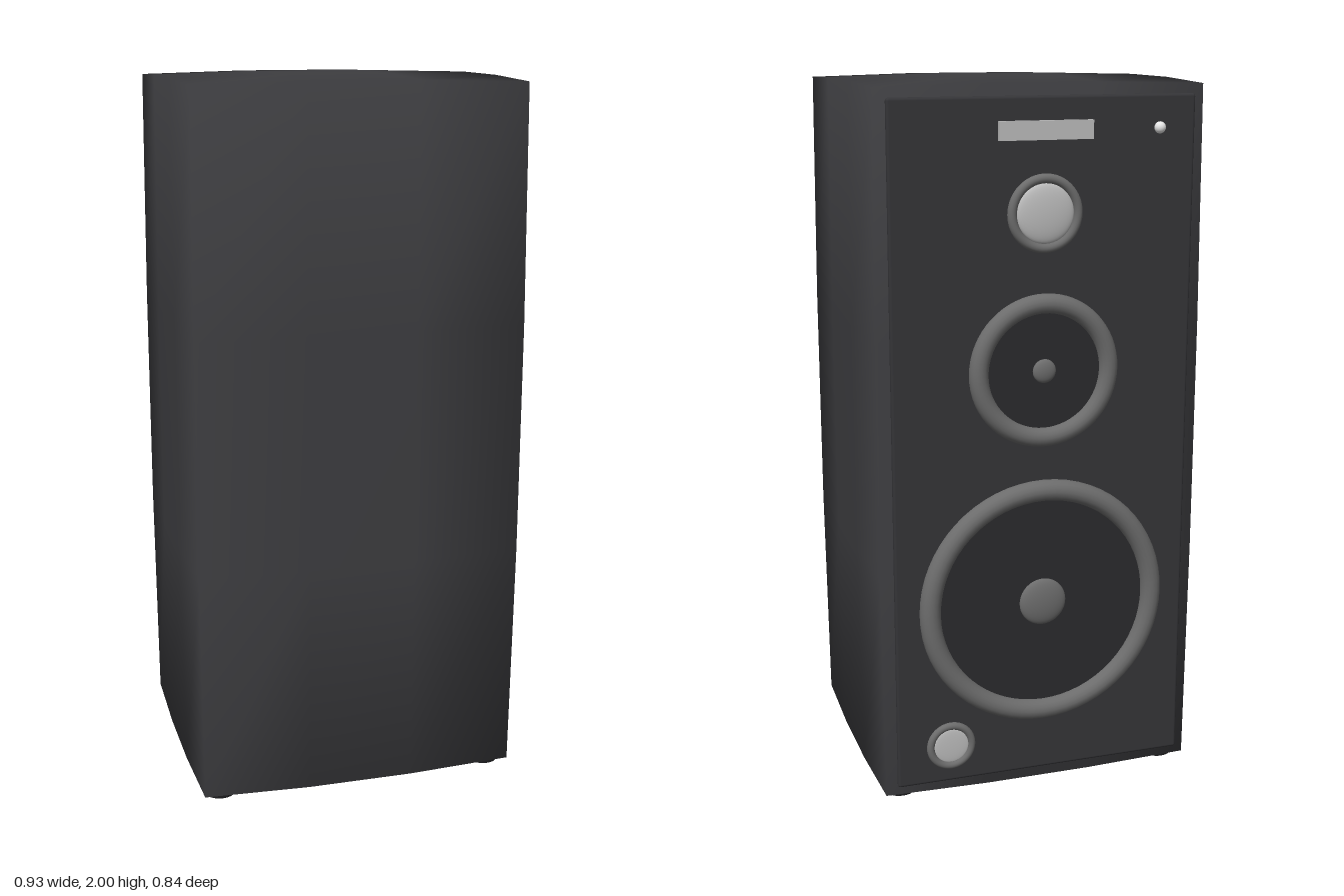
import * as THREE from 'three';
import { mergeVertices } from 'three/addons/utils/BufferGeometryUtils.js';
import { RoundedBoxGeometry } from 'three/addons/geometries/RoundedBoxGeometry.js';

const material = (name, color) => {
  const m = new THREE.MeshStandardMaterial({ color });
  m.name = name;
  return m;
};

// Box whose sides swell gently; the baffle side (-z) stays flat
function bulgedBox() {
  let geo = new THREE.BoxGeometry(2, 2, 2, 3, 3, 3);
  geo.deleteAttribute('normal');
  geo.deleteAttribute('uv');
  geo = mergeVertices(geo);
  const p = geo.attributes.position;
  const inner = (v) => (Math.abs(v) < 0.9 ? 1 : 0);
  for (let i = 0; i < p.count; i++) {
    const x = p.getX(i), y = p.getY(i), z = p.getZ(i);
    const ix = inner(x), iy = inner(y), iz = inner(z);
    const nx = x * (0.455 + (ix ? 0 : 0.006 * (iy + iz)));
    const ny = 1.0025 + y * (0.9825 + (iy ? 0 : 0.0075 * (ix + iz)));
    let nz = 0.02 + z * 0.388;
    if (z > 0.9) nz += 0.006 * (ix + iy);
    p.setXYZ(i, nx, ny, nz);
  }
  geo.computeVertexNormals();
  return geo;
}

export function createModel() {
  const root = new THREE.Group();
  root.name = 'loudspeaker';

  const cabinetMat = material('cabinet charcoal', 0x3d3d40);
  const baffleMat = material('baffle charcoal', 0x343437);
  const coneMat = material('cone black', 0x2b2b2d);
  const ringMat = material('ring grey', 0x6c6c6c);
  const silverMat = material('silver', 0xbcbcbc);
  const footMat = material('foot black', 0x1c1c1e);
  const lampMat = material('lamp white', 0xe6e6e6);

  const add = (parent, name, geo, mat, x = 0, y = 0, z = 0) => {
    const m = new THREE.Mesh(geo, mat);
    m.name = name;
    m.position.set(x, y, z);
    parent.add(m);
    return m;
  };

  // Cabinet and speaker board
  add(root, 'cabinet', bulgedBox(), cabinetMat);
  add(root, 'baffle', new RoundedBoxGeometry(0.85, 1.91, 0.018, 3, 0.008), baffleMat, 0, 1.005, -0.382);
  add(root, 'baffleBacking', new THREE.BoxGeometry(0.82, 1.88, 0.012), footMat, 0, 1.005, -0.37);

  // Round parts, all turned to face -z
  const disc = (r, h) => new THREE.CylinderGeometry(r, r, h, 48).rotateX(-Math.PI / 2);
  const dome = (r, depth) => new THREE.SphereGeometry(1, 40, 12, 0, Math.PI * 2, 0, Math.PI / 2)
    .scale(r, depth, r).rotateX(-Math.PI / 2);

  const face = -0.391;
  const drivers = [
    { name: 'woofer', x: 0, y: 0.565, r: 0.357, tube: 0.03, cap: 0.068, depth: 0.02, capMat: ringMat },
    { name: 'midrange', x: 0, y: 1.23, r: 0.212, tube: 0.027, cap: 0.033, depth: 0.014, capMat: ringMat },
    { name: 'tweeter', x: 0, y: 1.655, r: 0.105, tube: 0.013, cap: 0.08, depth: 0.016, capMat: silverMat },
    { name: 'port', x: 0.27, y: 0.16, r: 0.071, tube: 0.011, cap: 0.05, depth: 0.004, capMat: silverMat },
  ];
  for (const d of drivers) {
    const g = new THREE.Group();
    g.name = d.name;
    g.position.set(d.x, d.y, face);
    root.add(g);
    add(g, d.name + 'Ring', new THREE.TorusGeometry(d.r - d.tube, d.tube, 16, 64), ringMat);
    add(g, d.name + 'Cone', disc(d.r - d.tube, 0.006), coneMat);
    add(g, d.name + 'Cap', dome(d.cap, d.depth), d.capMat, 0, 0, -0.003);
  }

  // Trim plate and power lamp near the top
  add(root, 'trimPlate', new THREE.BoxGeometry(0.26, 0.05, 0.018), silverMat, 0, 1.872, -0.394);
  add(root, 'lamp', new THREE.SphereGeometry(0.016, 20, 14), lampMat, -0.322, 1.872, -0.392);

  // Feet
  for (const x of [-0.4, 0.4]) {
    for (const z of [-0.3, 0.345]) {
      add(root, 'foot', new THREE.CylinderGeometry(0.045, 0.045, 0.04, 24), footMat, x, 0.02, z);
    }
  }
  return root;
}
